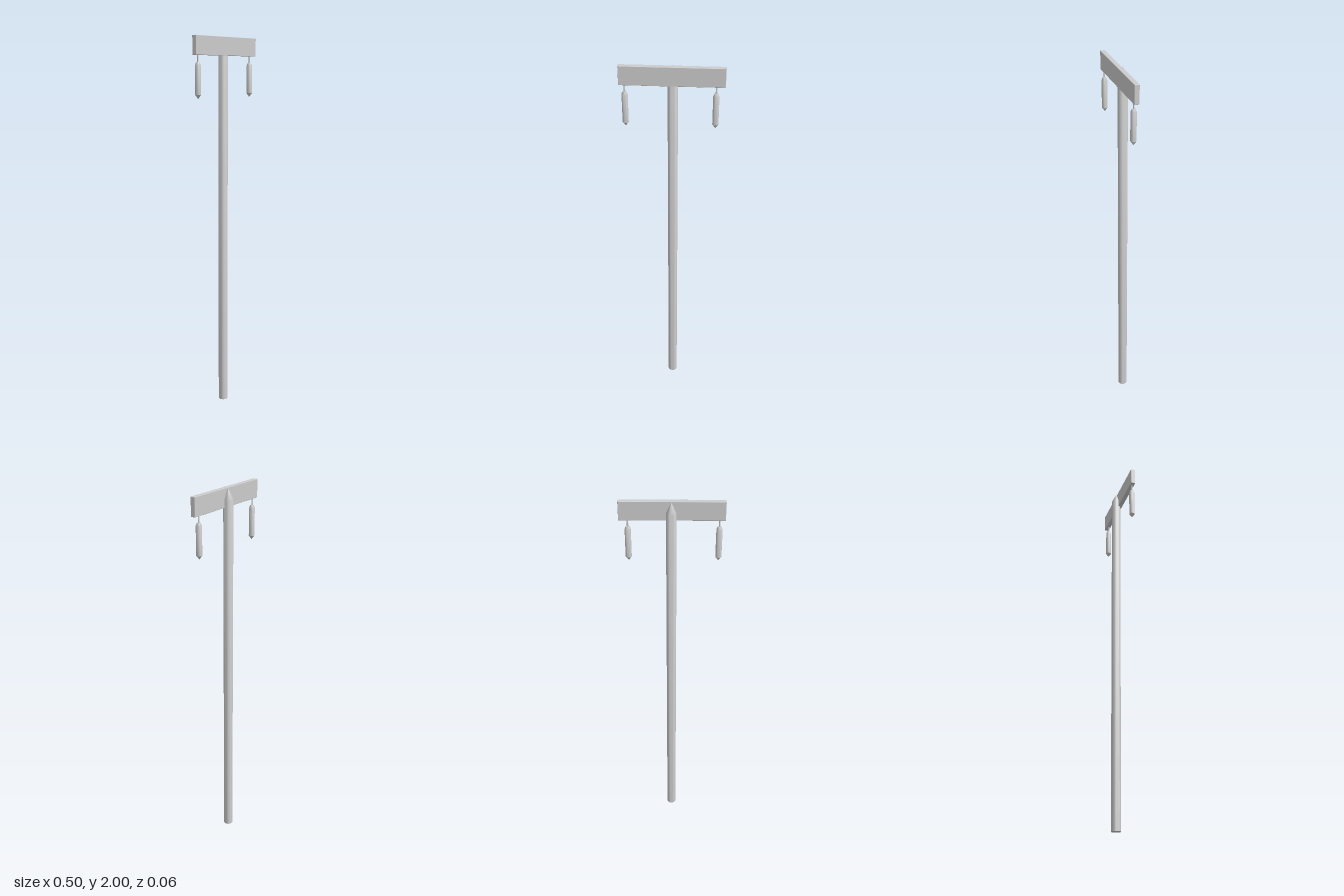
import * as THREE from 'three';
import { toCreasedNormals } from 'three/addons/utils/BufferGeometryUtils.js';
import { RoundedBoxGeometry } from 'three/addons/geometries/RoundedBoxGeometry.js';

const material = new THREE.MeshStandardMaterial({ color: 0xcccccc });

// Lathe a [radius, height] profile (bottom to top) with crisp edges
function turned(name, profile, sides, x, z) {
  const points = profile.map(([r, y]) => new THREE.Vector2(r, y));
  const geometry = toCreasedNormals(new THREE.LatheGeometry(points, sides), 0.6);
  const mesh = new THREE.Mesh(geometry, material);
  mesh.name = name;
  mesh.position.set(x, 0, z);
  return mesh;
}

export function createModel() {
  const group = new THREE.Group();
  group.name = 'signPost';

  // Tall round post with a pointed top
  group.add(turned('post', [[0, 0], [0.025, 0], [0.025, 1.945], [0, 2]], 32, 0.003, -0.006));

  // Crossboard fixed to the front of the post
  const board = new THREE.Mesh(new RoundedBoxGeometry(0.505, 0.095, 0.025, 2, 0.002), material);
  board.name = 'crossboard';
  board.position.set(0, 1.9525, 0.0125);
  group.add(board);

  // Hanging weights, each on a thin rod under the board
  for (const [side, x] of [['right', -0.225], ['left', 0.21]]) {
    const pendant = new THREE.Group();
    pendant.name = side + 'Pendant';
    pendant.add(
      turned('weight', [[0, 1.69], [0.015, 1.71], [0.015, 1.855], [0.009, 1.87], [0, 1.87]], 16, x, 0.013),
      turned('hangingRod', [[0.004, 1.865], [0.004, 1.91]], 8, x, 0.013)
    );
    group.add(pendant);
  }
  return group;
}
